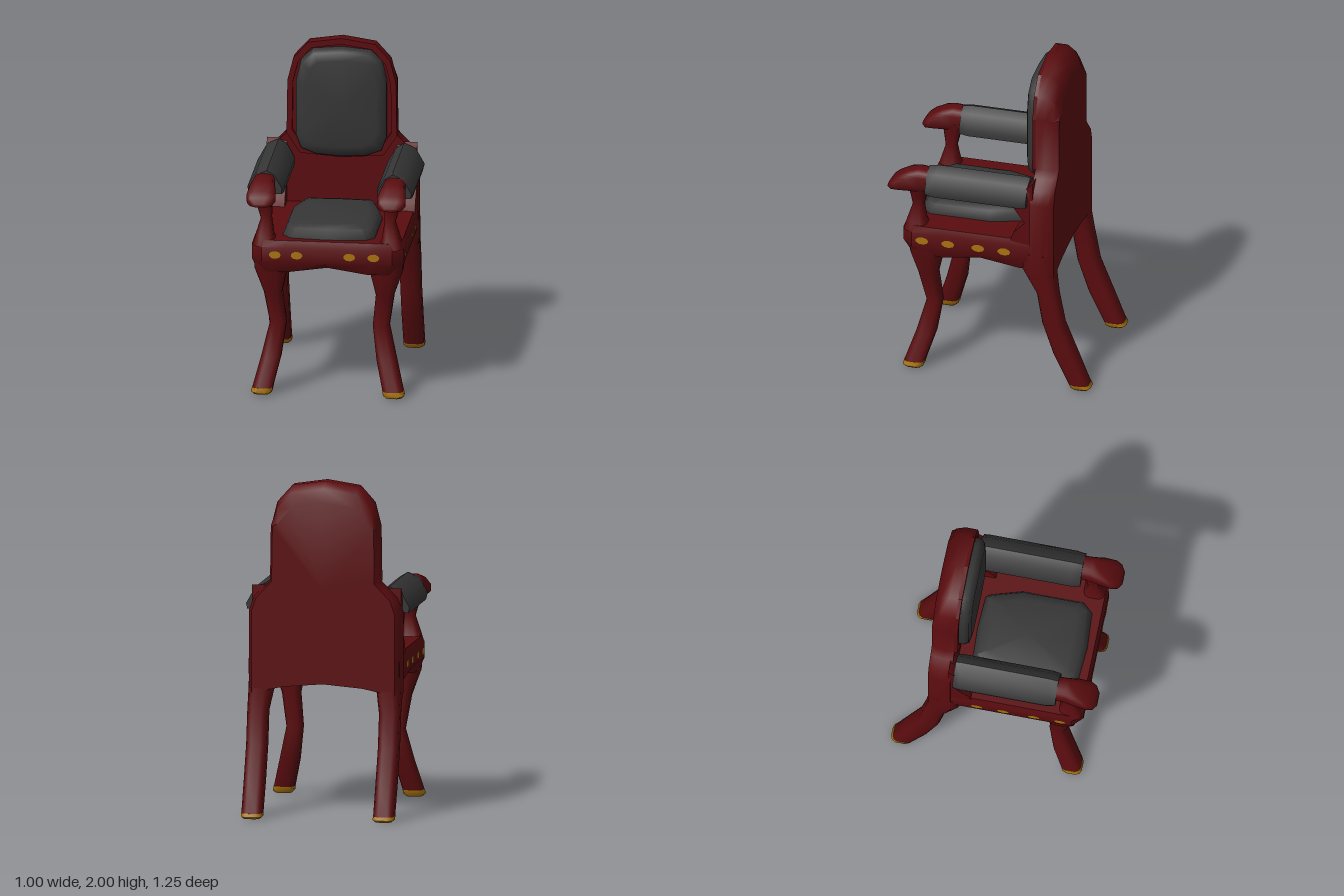
import * as THREE from 'three';
import { toCreasedNormals } from 'three/addons/utils/BufferGeometryUtils.js';

const red = new THREE.MeshStandardMaterial({ color: 0x5a0c0f });
red.name = 'dark red wood';
const grey = new THREE.MeshStandardMaterial({ color: 0x363636 });
grey.name = 'charcoal upholstery';
const gold = new THREE.MeshStandardMaterial({ color: 0xa8730f });
gold.name = 'gold trim';

const V = (x, y, z) => new THREE.Vector3(x, y, z);

// Closed skin over a list of rings, fan capped, always wound outward
function loft(rings, crease = 0.75) {
  const n = rings[0].length, tris = [];
  const mid = r => r.reduce((a, p) => a.add(p), V(0, 0, 0)).divideScalar(n);
  const first = rings[0], last = rings[rings.length - 1], c0 = mid(first), c1 = mid(last);
  for (let j = 0; j < n; j++) {
    const k = (j + 1) % n;
    for (let i = 0; i < rings.length - 1; i++) {
      const a = rings[i], b = rings[i + 1];
      tris.push([a[j], a[k], b[k]], [a[j], b[k], b[j]]);
    }
    tris.push([c0, first[k], first[j]], [c1, last[j], last[k]]);
  }
  let volume = 0;
  for (const [a, b, c] of tris) volume += a.dot(b.clone().cross(c));
  const points = tris.flatMap(([a, b, c]) => (volume < 0 ? [a, c, b] : [a, b, c]));
  return toCreasedNormals(new THREE.BufferGeometry().setFromPoints(points), crease);
}

// Rounded-square cross-section as [u, v] pairs
function section(hu, hv, n = 12) {
  return Array.from({ length: n }, (_, i) => {
    const t = ((i + 0.5) / n) * Math.PI * 2, c = Math.cos(t), s = Math.sin(t);
    return [hu * Math.sign(c) * Math.abs(c) ** 0.6, hv * Math.sign(s) * Math.abs(s) ** 0.6];
  });
}

// Upright limb, rows of [y, x, z, halfX, halfZ]
const limb = (rows, s) => loft(rows.map(([y, x, z, hx, hz]) =>
  section(hx, hz).map(([u, v]) => V(s * x + u, y, z + v))), 1);

// Half outline from the centre line, mirrored into a full loop
const mirrored = half => [...half, ...half.filter(p => p[0] > 0).reverse().map(([x, y]) => [-x, y])];

export function createModel() {
  const chair = new THREE.Group();
  chair.name = 'armchair';
  const add = (name, geometry, material, parent = chair) => {
    const mesh = new THREE.Mesh(geometry, material);
    mesh.name = name;
    parent.add(mesh);
    return mesh;
  };

  // Seat frame with arched lower edges
  const frame = mirrored([[0, 0.54], [0.25, 0.54], [0.39, 0.54], [0.455, 0.475], [0.455, 0.31],
    [0.455, 0.07], [0.455, -0.19], [0.455, -0.36], [0.25, -0.36], [0, -0.36]]);
  add('seatFrame', loft([[0.77, 0.94], [0.84, 1], [0.93, 1], [0.97, 0.97]].map(([y, k]) =>
    frame.map(([x, z]) => V(x * k, y < 0.8 && (x === 0 || z === 0.07) ? 0.805 : y, z * k)))), red);

  // Seat cushion
  const seat = mirrored([[0, 0.485], [0.22, 0.47], [0.275, 0.41], [0.275, 0.04], [0.22, -0.14], [0.2, -0.17], [0, -0.18]]);
  add('seatCushion', loft([[0.95, 1], [0.98, 1], [1.03, 0.92], [1.046, 0.74]].map(([y, k]) =>
    seat.map(([x, z]) => V(x * k, y, 0.15 + (z - 0.15) * k))), 0.9), grey);

  // Back slab with shoulders, rounded off behind
  const back = mirrored([[0, 0.79], [0.25, 0.77], [0.46, 0.73], [0.46, 1.22], [0.43, 1.3], [0.37, 1.36],
    [0.33, 1.4], [0.325, 1.73], [0.29, 1.87], [0.2, 1.97], [0, 2]]);
  add('backSlab', loft([[-0.255, 0, 0], [-0.31, 0, 0], [-0.365, 0.015, 0.04], [-0.395, 0.06, 0.12]].map(([z, dx, dy]) =>
    back.map(([x, y]) => V(x * (1 - dx), y > 1.8 ? y - dy : y, z))), 0.9), red);

  // Raised rim around the back cushion
  const rim = mirrored([[0, 1.26], [0.25, 1.28], [0.33, 1.4], [0.325, 1.73], [0.29, 1.87], [0.2, 1.97], [0, 2]]);
  const loop = k => rim.map(([x, y]) => new THREE.Vector2(x * k, 1.63 + (y - 1.63) * k));
  const rimShape = new THREE.Shape(loop(1));
  rimShape.holes.push(new THREE.Path(loop(0.9)));
  const rimGeometry = new THREE.ExtrudeGeometry(rimShape, { depth: 0.025, bevelEnabled: false });
  add('backRim', rimGeometry, red).position.z = -0.26;

  // Back cushion
  const pillow = mirrored([[0, 1.275], [0.15, 1.285], [0.24, 1.32], [0.27, 1.4], [0.27, 1.74], [0.24, 1.87], [0.17, 1.93], [0, 1.945]]);
  add('backCushion', loft([[-0.26, 1], [-0.21, 1], [-0.185, 0.95], [-0.172, 0.8]].map(([z, k]) =>
    pillow.map(([x, y]) => V(x * k, 1.61 + (y - 1.61) * k, z))), 0.9), grey);

  for (const s of [1, -1]) {
    const side = new THREE.Group();
    side.name = s > 0 ? 'leftSide' : 'rightSide';
    chair.add(side);

    // Curved front leg and splayed back leg, with gold feet
    add('frontLeg', limb([[0.04, 0.39, 0.468, 0.062, 0.062], [0.22, 0.345, 0.41, 0.06, 0.06],
      [0.42, 0.308, 0.368, 0.05, 0.048], [0.62, 0.335, 0.4, 0.055, 0.06],
      [0.77, 0.345, 0.405, 0.098, 0.098], [0.86, 0.35, 0.41, 0.1, 0.1]], s), red, side);
    add('frontFoot', limb([[0.005, 0.395, 0.473, 0.05, 0.05], [0.018, 0.395, 0.473, 0.064, 0.063],
      [0.045, 0.389, 0.467, 0.063, 0.063]], s), gold, side);
    add('backLeg', limb([[0.03, 0.398, -0.547, 0.063, 0.063], [0.22, 0.398, -0.463, 0.063, 0.073],
      [0.42, 0.398, -0.388, 0.063, 0.066], [0.62, 0.398, -0.352, 0.063, 0.064],
      [0.77, 0.385, -0.295, 0.075, 0.1], [0.88, 0.385, -0.29, 0.075, 0.1]], s), red, side);
    add('backFoot', limb([[0, 0.398, -0.557, 0.05, 0.05], [0.012, 0.398, -0.557, 0.064, 0.064],
      [0.033, 0.398, -0.547, 0.064, 0.064]], s), gold, side);

    // Waisted arm post
    add('armPost', limb([[0.93, 0.375, 0.455, 0.075, 0.08], [0.99, 0.378, 0.46, 0.055, 0.058],
      [1.09, 0.37, 0.452, 0.033, 0.034], [1.15, 0.378, 0.45, 0.042, 0.045],
      [1.25, 0.39, 0.44, 0.068, 0.07]], s), red, side);

    // Arm rail ending in a drooping hand scroll: [z, y, halfX, halfY]
    add('armRail', loft([[-0.25, 1.27, 0.062, 0.065], [0.36, 1.27, 0.065, 0.068], [0.44, 1.268, 0.068, 0.077],
      [0.5, 1.262, 0.08, 0.066], [0.57, 1.243, 0.088, 0.042], [0.605, 1.228, 0.075, 0.03],
      [0.628, 1.213, 0.04, 0.01]].map(([z, y, hx, hy]) =>
      section(hx, hy).map(([u, v]) => V(s * 0.39 + u, y + v, z))), 1), red, side);

    // Padded arm sleeve
    const pad = [[0.28, 1.21], [0.277, 1.25], [0.325, 1.335], [0.375, 1.367], [0.445, 1.335], [0.498, 1.24], [0.49, 1.207]];
    add('armPad', loft([[-0.237, 0.96], [-0.2, 1], [0.33, 1], [0.385, 0.92]].map(([z, k]) =>
      pad.map(([x, y]) => V(s * (0.39 + (x - 0.39) * k), 1.27 + (y - 1.27) * k, z))), 0.8), grey, side);

    // Back post flaring into the seat and the arm
    const flare = [[-0.27, 0.94], [-0.13, 0.96], [-0.15, 1.015], [-0.22, 1.09], [-0.155, 1.18], [-0.16, 1.26], [-0.27, 1.36]];
    const flareShape = new THREE.Shape(flare.map(([z, y]) => new THREE.Vector2(-z, y)));
    const post = new THREE.ExtrudeGeometry(flareShape, { depth: 0.12, bevelEnabled: false });
    post.rotateY(Math.PI / 2);
    post.translate(s * 0.39 - 0.06, 0, 0);
    add('backPost', toCreasedNormals(post, 0.9), red, side);

    // Gold studs along the side of the frame
    for (const z of [0.41, 0.25, 0.065, -0.095]) {
      const stud = add('sideStud', new THREE.CircleGeometry(1, 9), gold, side);
      stud.scale.set(0.04, 0.024, 1);
      stud.rotation.y = s * Math.PI / 2;
      stud.position.set(s * 0.459, 0.882, z);
    }
  }

  // Gold studs along the front of the frame
  for (const x of [-0.31, -0.18, 0.135, 0.28]) {
    const stud = add('frontStud', new THREE.CircleGeometry(1, 9), gold);
    stud.scale.set(0.036, 0.024, 1);
    stud.position.set(x, 0.885, 0.544);
  }
  return chair;
}
